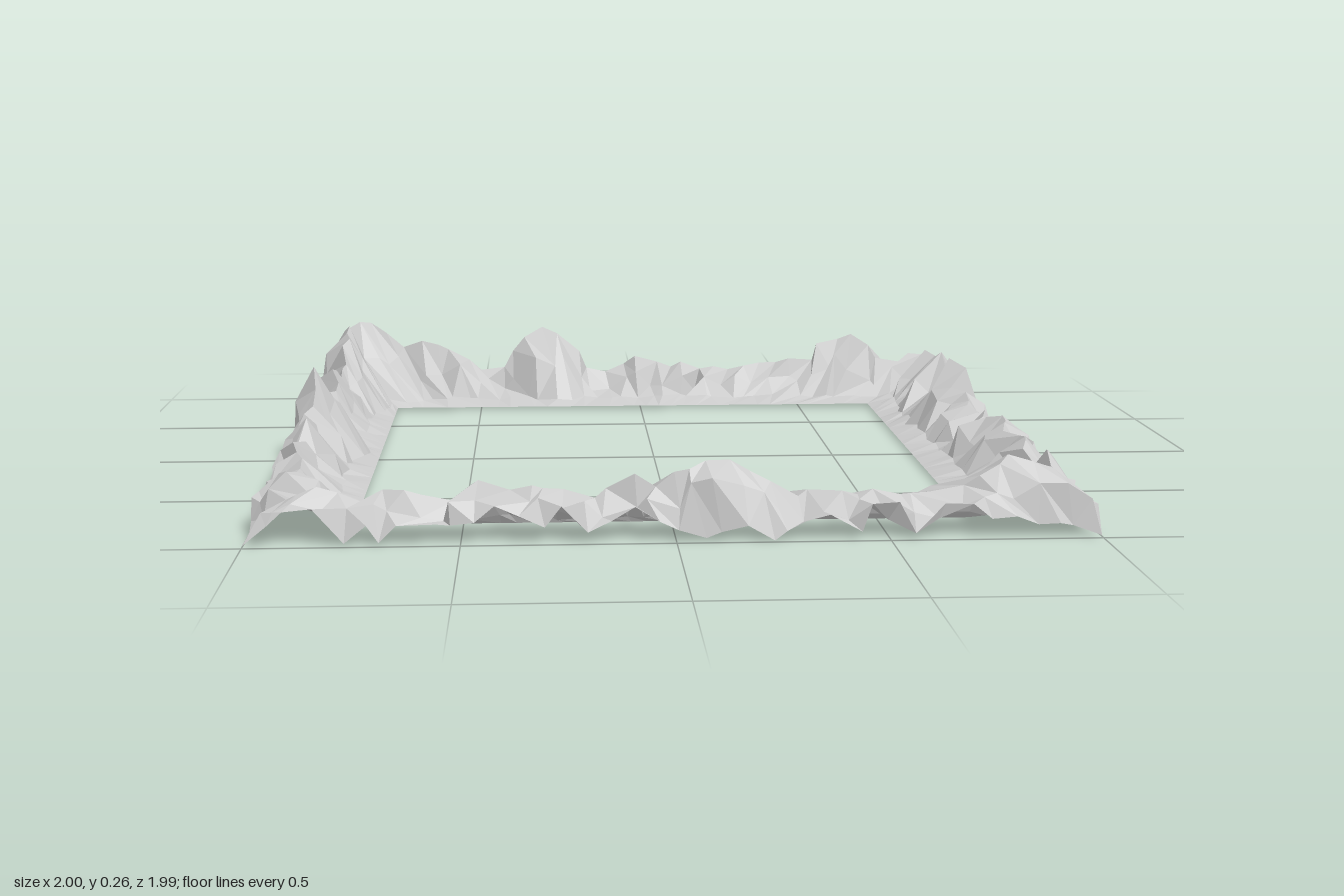
import * as THREE from 'three';

// Ridge heights every 0.1 units around the frame: back, right, front, left
const HEIGHTS = [
  [.25, .25, .17, .20, .15, .10, .18, .25, .13, .10, .13, .12, .11, .10, .12, .11, .14, .22, .15, .12],
  [.15, .17, .14, .18, .13, .15, .20, .14, .12, .10, .12, .11, .14, .15, .12, .15, .10, .11, .12, .19],
  [.14, .18, .13, .10, .11, .10, .12, .10, .15, .20, .14, .14, .10, .11, .13, .12, .10, .12, .10, .13],
  [.10, .13, .14, .11, .10, .15, .12, .16, .12, .18, .25, .18, .12, .13, .15, .19, .14, .16, .22, .25],
].flat();

// Width of the flat inner ledge and place of the crest, 0 inner edge to 1 outer edge,
// for back, right, front, left
const LEDGE = [0.32, 0.26, 0.08, 0.27];
const CREST = [0.80, 0.70, 0.66, 0.70];

const PER_SIDE = 38;
const INNER = { x0: -0.76, x1: 0.72, z0: -0.78, z1: 0.80 };
const OUTER = { x0: -1, x1: 1, z0: -1, z1: 0.985 };
const { lerp, clamp } = THREE.MathUtils;

// Small seeded generator, values from -1 to 1
function seeded(seed) {
  let s = seed;
  return () => {
    s = (s * 16807) % 2147483647;
    return (s / 2147483647) * 2 - 1;
  };
}

// Point on a rectangle's outline; t runs 0..1 along the given side
function onRect(r, side, t) {
  const x = lerp(r.x0, r.x1, t);
  const z = lerp(r.z0, r.z1, t);
  if (side === 0) return [x, r.z0];
  if (side === 1) return [r.x1, z];
  if (side === 2) return [r.x0 + r.x1 - x, r.z1];
  return [r.x0, r.z0 + r.z1 - z];
}

// Cross-section of the shell from the inner edge, over the crest, down to the
// ragged outer rim: [place across, height, roughness across, roughness in height]
function section(side, ridge, corner) {
  // Tall boulders cover part of the ledge
  const ledge = LEDGE[side] * clamp((0.25 - ridge) / 0.06, 0.35, 1);
  const crest = CREST[side];
  return [
    [0, 0.008, 0, 0],
    [ledge, 0.025, 0.05, 0.008],
    [lerp(ledge, crest, 0.5), ridge * 0.6, 0.11, 0.03],
    [crest, ridge, 0.1, 0.008],
    [lerp(crest, 1, 0.6), ridge * 0.65, 0.07, 0.03],
    corner ? [1, 0.005, 0, 0] : [0.98, 0.045, 0.035, 0.045],
  ];
}

function rockFrameGeometry() {
  const rand = seeded(4711);
  const cols = PER_SIDE * 4;
  const positions = [];
  const index = [];
  let rows = 0;

  for (let c = 0; c < cols; c++) {
    const side = Math.floor(c / PER_SIDE);
    const t0 = (c % PER_SIDE) / PER_SIDE;
    const f = (c / cols) * HEIGHTS.length;
    const i = Math.floor(f);
    const ridge = lerp(HEIGHTS[i], HEIGHTS[(i + 1) % HEIGHTS.length], f - i) + rand() * 0.015;
    const points = section(side, ridge, t0 === 0);
    rows = points.length;

    for (const [across, height, roughW, roughY] of points) {
      // Corner columns keep their place along the side
      const t = t0 + (t0 > 0 && roughW > 0 ? rand() * 0.01 : 0);
      const a = onRect(INNER, side, t);
      const b = onRect(OUTER, side, t);
      const w = clamp(across + rand() * roughW, 0, 1);
      const y = Math.max(0, height + rand() * roughY);
      positions.push(lerp(a[0], b[0], w), y, lerp(a[1], b[1], w));
    }
  }

  // Open shell with irregular diagonals
  for (let c = 0; c < cols; c++) {
    for (let r = 0; r < rows - 1; r++) {
      const n = (c + 1) % cols;
      const a = c * rows + r, b = n * rows + r, d = a + 1, e = b + 1;
      if (rand() > 0) index.push(a, b, d, b, e, d);
      else index.push(a, b, e, a, e, d);
    }
  }

  const indexed = new THREE.BufferGeometry();
  indexed.setAttribute('position', new THREE.Float32BufferAttribute(positions, 3));
  indexed.setIndex(index);
  const geometry = indexed.toNonIndexed();
  geometry.computeVertexNormals();
  return geometry;
}

export function createModel() {
  const group = new THREE.Group();
  group.name = 'rockBorder';
  const material = new THREE.MeshStandardMaterial({
    color: 0xcccccc, flatShading: true, side: THREE.DoubleSide,
  });

  // Square ring of rugged rock around an open middle, hollow underneath
  const frame = new THREE.Mesh(rockFrameGeometry(), material);
  frame.name = 'rockRidge';
  group.add(frame);
  return group;
}
